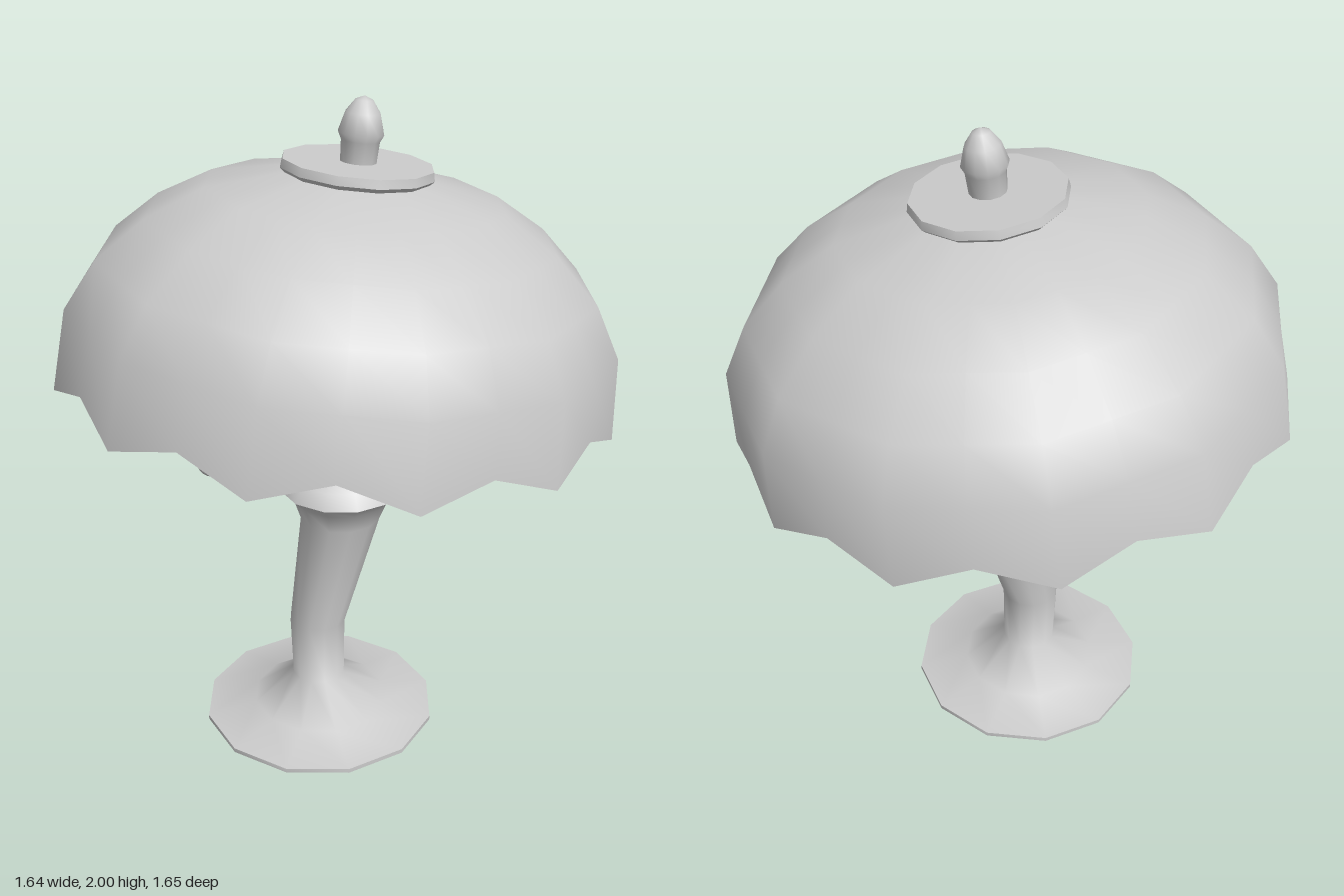
import * as THREE from 'three';
import { mergeVertices, toCreasedNormals } from 'three/addons/utils/BufferGeometryUtils.js';

const material = new THREE.MeshStandardMaterial({ color: 0xcccccc });
const thinMaterial = new THREE.MeshStandardMaterial({ color: 0xcccccc, side: THREE.DoubleSide });

// Turned form from [radius, height, sideways shift] rings; rule(v, ring, segment) can adjust vertices.
function turned(name, rings, { sides = 12, crease = 1.1, mat = material, rule } = {}) {
  const lathe = new THREE.LatheGeometry(rings.map(([r, y]) => new THREE.Vector2(r, y)), sides);
  const pos = lathe.attributes.position;
  const v = new THREE.Vector3();
  for (let i = 0; i < pos.count; i++) {
    const ring = i % rings.length;
    v.fromBufferAttribute(pos, i);
    v.x += rings[ring][2] ?? 0;
    if (rule) rule(v, ring, Math.floor(i / rings.length) % sides);
    pos.setXYZ(i, v.x, v.y, v.z);
  }
  lathe.deleteAttribute('uv');
  lathe.deleteAttribute('normal');
  const welded = mergeVertices(lathe, 1e-4);
  welded.computeVertexNormals();
  const mesh = new THREE.Mesh(crease ? toCreasedNormals(welded, crease) : welded, mat);
  mesh.name = name;
  return mesh;
}

export function createModel() {
  const lamp = new THREE.Group();
  lamp.name = 'tableLamp';

  // Foot and crooked column, with a collar at the top
  lamp.add(turned('baseAndColumn', [
    [0, 0, -0.055], [0.375, 0, -0.055], [0.375, 0.014, -0.055],
    [0.215, 0.04, -0.055], [0.085, 0.135, -0.057], [0.09, 0.34, -0.06],
    [0.126, 0.71, 0.015], [0.15, 0.775, 0.017], [0.193, 0.815, 0.018],
    [0.165, 0.862, 0.018], [0.055, 0.925, 0.016],
  ]));

  // Pole leaning slightly the other way
  lamp.add(turned('pole', [
    [0.05, 0.91, 0.016], [0.05, 1.2, -0.003], [0.05, 1.79, -0.035],
  ]));

  // Pull cord with a round knob
  const knobAt = new THREE.Vector3(-0.385, 0.94, 0);
  const cordPath = new THREE.LineCurve3(new THREE.Vector3(-0.165, 1.7, 0), knobAt);
  const cord = new THREE.Mesh(new THREE.TubeGeometry(cordPath, 1, 0.007, 6), material);
  cord.name = 'pullCord';
  const knob = new THREE.Mesh(new THREE.SphereGeometry(0.043, 10, 7), material);
  knob.name = 'pullKnob';
  knob.position.copy(knobAt);
  lamp.add(cord, knob);

  // Tilted top: shade, cap and finial share one axis
  const top = new THREE.Group();
  top.name = 'tiltedTop';
  top.position.set(0.065, 1.82, 0);
  top.rotation.z = -0.0977;
  lamp.add(top);

  // Twelve-panel dome; the rim rises in the middle of each panel
  const midPanel = Math.cos(Math.PI / 12);
  top.add(turned('shade', [
    [0.825, -0.68], [0.8, -0.44], [0.72, -0.3], [0.59, -0.18], [0.43, -0.087], [0.2, -0.036],
  ], {
    sides: 24, crease: 0, mat: thinMaterial,
    rule(v, ring, segment) {
      if (segment % 2 === 0) return;
      v.x *= midPanel;
      v.z *= midPanel;
      if (ring === 0) v.y += 0.065;
    },
  }));

  top.add(turned('cap', [
    [0, -0.045], [0.2, -0.045], [0.222, -0.025], [0.217, 0], [0, 0],
  ], { crease: 0.7 }));

  top.add(turned('finial', [
    [0.052, -0.01], [0.056, 0.06], [0.066, 0.08], [0.05, 0.135], [0.025, 0.17], [0, 0.181],
  ]));

  return lamp;
}
